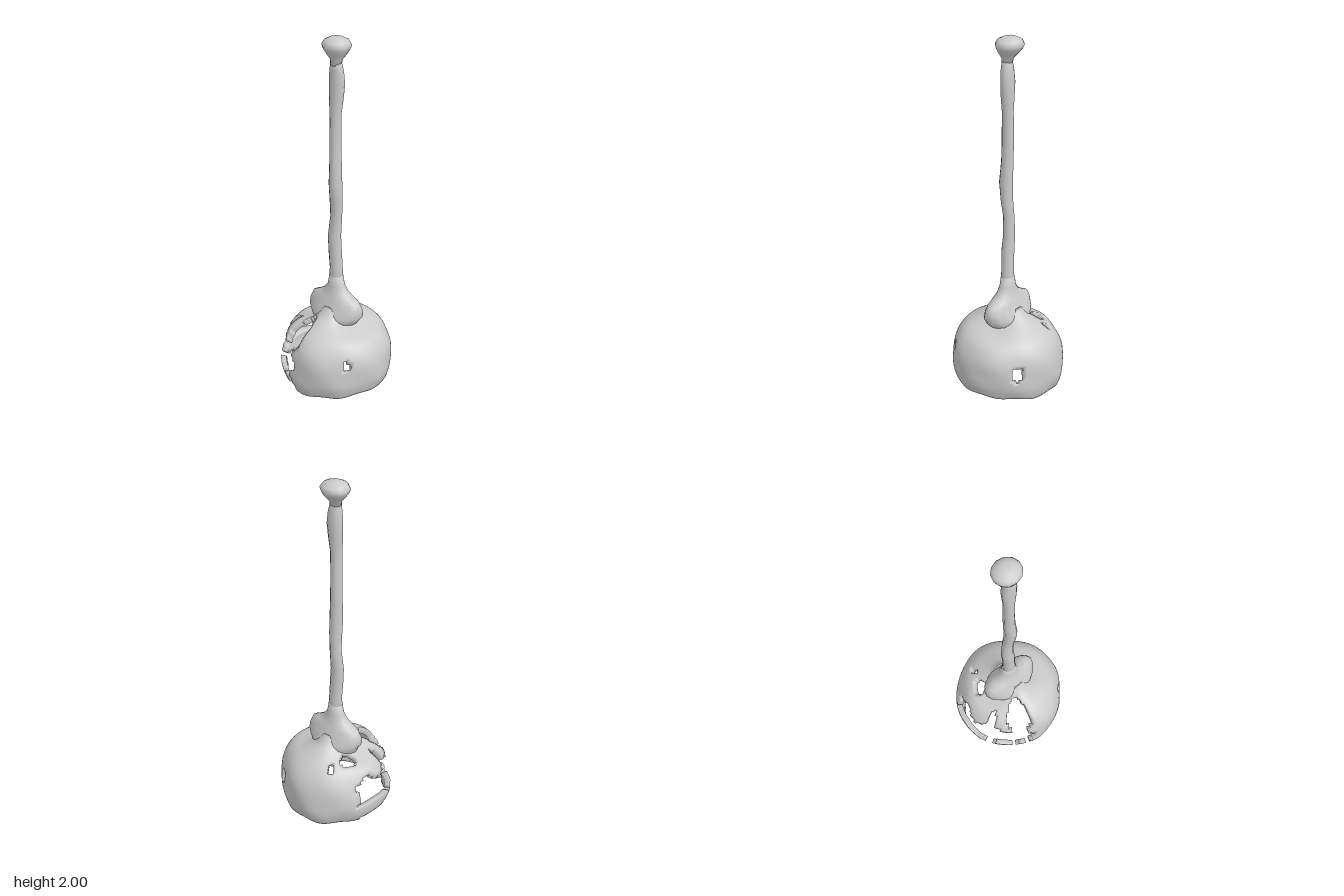
import * as THREE from 'three';

const material = new THREE.MeshStandardMaterial({ color: 0xcccccc, side: THREE.DoubleSide });

function meshFrom(name, positions, index) {
  const g = new THREE.BufferGeometry();
  g.setAttribute('position', new THREE.Float32BufferAttribute(positions, 3));
  g.setIndex(index);
  g.computeVertexNormals();
  const m = new THREE.Mesh(g, material);
  m.name = name;
  return m;
}

// Loft of elliptical rings [y, centreX, centreZ, radiusX, radiusZ], closed at both ends
function loft(name, rings, sides) {
  const pos = [], idx = [], n = rings.length;
  for (const [y, cx, cz, rx, rz] of rings)
    for (let i = 0; i < sides; i++) {
      const a = (i / sides) * Math.PI * 2;
      pos.push(cx + Math.sin(a) * rx, y, cz + Math.cos(a) * rz);
    }
  for (let j = 0; j < n - 1; j++)
    for (let i = 0; i < sides; i++) {
      const k = (i + 1) % sides, a = j * sides + i, b = j * sides + k;
      idx.push(a, b, b + sides, a, b + sides, a + sides);
    }
  const lo = rings[0], hi = rings[n - 1], c = pos.length / 3;
  pos.push(lo[1], lo[0], lo[2], hi[1], hi[0], hi[2]);
  for (let i = 0; i < sides; i++) {
    const k = (i + 1) % sides, t = (n - 1) * sides;
    idx.push(c, k, i, c + 1, t + i, t + k);
  }
  return meshFrom(name, pos, idx);
}

// Patches on the cup wall: [angle, height, half angle, half height]; 0 deg = front, 90 = +x
const holes = [
  [243, 0.33, 17, 0.09],   // broken shoulder
  [150, 0.375, 15, 0.026], // slot beside the neck
  [204, 0.31, 5, 0.05],    // gap at the end of the back band
  [120, 0.345, 4, 0.02],
  [50, 0.18, 6, 0.045],
  [317, 0.22, 4, 0.028],
];
const islands = [
  [170, 0.085, 32, 0.045], // remaining strip of rim
  [222, 0.07, 11, 0.03],
  [243, 0.06, 5, 0.03],
];
const inside = (list, a, y) =>
  list.some(([ca, cy, ha, hy]) => ((a - ca) / ha) ** 2 + ((y - cy) / hy) ** 2 < 1);

function isSolid(a, y) {
  if (inside(holes, a, y)) return false;
  // large ragged opening at the back
  const ragged = 3 * Math.sin(y * 45);
  const top = 0.265 + 0.02 * Math.sin(a * 0.16);
  if (a > 152 + ragged && a < 255 + ragged && y < top) return inside(islands, a, y);
  return true;
}

// Hollow cup: outer and inner skin over a grid, with walls wherever a cell is missing
function cup() {
  const U = 96, V = 30;
  const curve = new THREE.SplineCurve([
    [0.295, 0.02], [0.312, 0.08], [0.314, 0.15], [0.308, 0.22], [0.285, 0.28],
    [0.24, 0.335], [0.17, 0.385], [0.115, 0.425], [0.08, 0.47],
  ].map(p => new THREE.Vector2(...p)));
  const profile = curve.getSpacedPoints(V);
  const pos = [], idx = [];
  for (let skin = 0; skin < 2; skin++)
    for (let j = 0; j <= V; j++)
      for (let i = 0; i < U; i++) {
        const a = (i / U) * Math.PI * 2, { x: r, y } = profile[j];
        const low = 1 - THREE.MathUtils.smoothstep(y, 0.1, 0.3);
        const high = THREE.MathUtils.smoothstep(y, 0.3, 0.45);
        // gently uneven outline, wavy rim and lower front and back shoulders
        const wobble = 1 + 0.014 * Math.cos(4 * a) + 0.008 * Math.sin(7 * a + y * 20);
        const rim = low * (0.012 * Math.cos(2 * a) + 0.005 * Math.sin(9 * a));
        const back = 1 + 0.03 * low * Math.max(0, -Math.cos(a)) - 0.05 * (1 - low) * Math.max(0, -Math.cos(a));
        const R = r * wobble * back * (skin ? 0.9 : 1);
        const h = y + rim - 0.05 * high * Math.cos(a) ** 2;
        pos.push(Math.sin(a) * R, skin ? 0.02 + (h - 0.02) * 0.92 : h, Math.cos(a) * R);
      }
  const inner = (V + 1) * U;
  const at = (i, j) => j * U + ((i + U) % U);
  const solid = (i, j) => j >= 0 && j < V &&
    isSolid(((((i + U) % U) + 0.5) / U) * 360, (profile[j].y + profile[j + 1].y) / 2);
  const quad = (a, b, c, d) => idx.push(a, b, c, a, c, d);
  for (let j = 0; j < V; j++)
    for (let i = 0; i < U; i++) {
      if (!solid(i, j)) continue;
      const c = [at(i, j), at(i + 1, j), at(i + 1, j + 1), at(i, j + 1)];
      quad(...c);
      quad(c[3] + inner, c[2] + inner, c[1] + inner, c[0] + inner);
      [[0, -1], [1, 0], [0, 1], [-1, 0]].forEach(([di, dj], e) => {
        if (solid(i + di, j + dj)) return;
        const p = c[e], q = c[(e + 1) % 4];
        quad(q, p, p + inner, q + inner);
      });
    }
  return meshFrom('cup', pos, idx);
}

export function createModel() {
  const model = new THREE.Group();
  model.name = 'plunger';

  model.add(cup());

  // Neck: narrow across, bulging to the front and back
  model.add(loft('neck', [
    [0.32, 0, -0.02, 0.06, 0.09],
    [0.35, 0, -0.01, 0.09, 0.13],
    [0.385, 0, 0, 0.11, 0.145],
    [0.42, 0, 0, 0.098, 0.172],
    [0.46, 0, 0, 0.08, 0.17],
    [0.495, 0, 0, 0.066, 0.155],
    [0.515, 0, 0, 0.06, 0.115],
    [0.54, 0, 0, 0.05, 0.08],
    [0.58, 0, 0, 0.043, 0.05],
    [0.64, 0, 0, 0.036, 0.04],
  ], 18));

  // Handle: slightly crooked rod
  model.add(loft('handle', [
    [0.56, 0, 0, 0.042, 0.045],
    [0.68, 0, 0, 0.033, 0.037],
    [0.8, -0.003, -0.006, 0.034, 0.038],
    [0.88, 0, -0.012, 0.031, 0.038],
    [1.0, 0.005, -0.004, 0.03, 0.033],
    [1.1, -0.004, 0.002, 0.033, 0.036],
    [1.2, -0.01, 0.002, 0.038, 0.036],
    [1.32, -0.004, -0.002, 0.033, 0.033],
    [1.45, -0.002, -0.004, 0.034, 0.03],
    [1.6, -0.002, -0.003, 0.031, 0.032],
    [1.68, 0, 0, 0.034, 0.04],
    [1.76, 0.003, 0.002, 0.035, 0.045],
    [1.83, 0, 0.002, 0.031, 0.04],
    [1.89, -0.003, 0, 0.025, 0.027],
  ], 12));

  // Knob on the end of the handle
  model.add(loft('knob', [
    [1.86, -0.003, 0, 0.027, 0.03],
    [1.89, 0, 0, 0.03, 0.034],
    [1.92, 0.005, -0.003, 0.052, 0.058],
    [1.945, 0.008, -0.005, 0.068, 0.074],
    [1.965, 0.01, -0.005, 0.075, 0.08],
    [1.985, 0.01, -0.005, 0.065, 0.068],
    [2.0, 0.01, -0.005, 0.035, 0.038],
  ], 12));

  return model;
}
